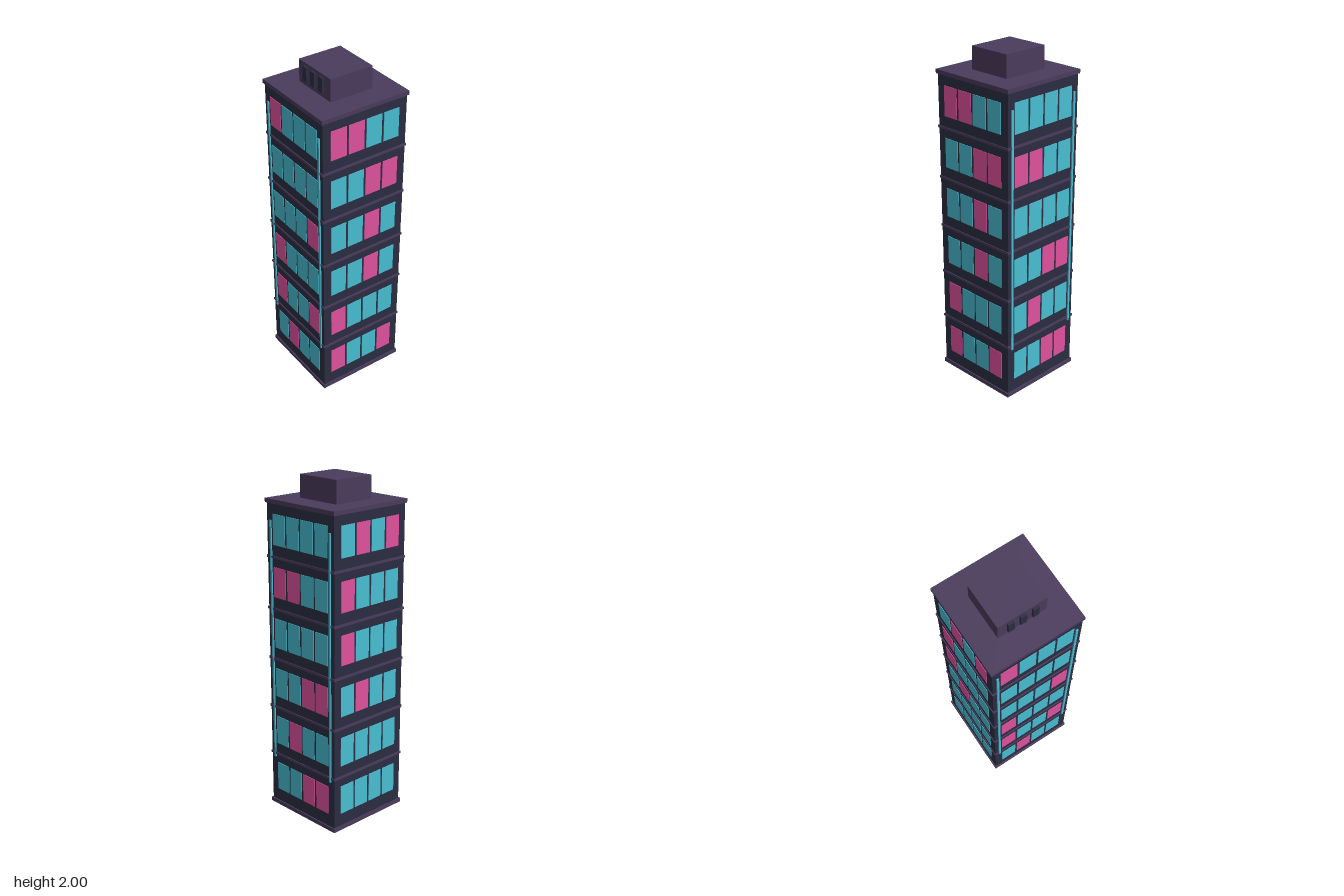
import * as THREE from 'three';

const mat = (color) => new THREE.MeshStandardMaterial({ color });

export function createModel() {
  const tower = new THREE.Group();
  tower.name = 'tower';
  const wall = mat(0x2b2d42), trim = mat(0x4a3b5c), cyan = mat(0x48bfd3), pink = mat(0xe0529f);

  // Box given by its size, centre x and z, and bottom height
  function box(parent, name, material, w, h, d, x, y, z) {
    const mesh = new THREE.Mesh(new THREE.BoxGeometry(w, h, d), material);
    mesh.name = name;
    mesh.position.set(x, y + h / 2, z);
    parent.add(mesh);
  }

  // Body, base and roof
  box(tower, 'walls', wall, 0.54, 1.83, 0.54, 0, 0.02, 0);
  box(tower, 'baseSlab', trim, 0.556, 0.024, 0.556, 0, 0, 0);
  box(tower, 'roofSlab', trim, 0.556, 0.024, 0.556, 0, 1.845, 0);

  // Ledges between floors
  const floorHeight = 0.302;
  for (let i = 0; i < 5; i++) {
    box(tower, 'floorLedge', trim, 0.55, 0.014, 0.55, 0, 0.327 + i * floorHeight, 0);
  }

  // Windows per side, ground floor first, left to right from outside (P = pink)
  const sides = [
    { name: 'front', turn: 0, rows: ['CPCC', 'PCCP', 'PCCC', 'CCCP', 'CCCC', 'PCCC'] },
    { name: 'right', turn: 1, rows: ['PCCP', 'PCCC', 'CCPC', 'CCPC', 'CCPP', 'PPCC'] },
    { name: 'back', turn: 2, rows: ['CCPP', 'CPCC', 'CCPP', 'CCCC', 'PPCC', 'CCCC'] },
    { name: 'left', turn: 3, rows: ['CCCC', 'CCCC', 'CPCC', 'PCCC', 'PCCC', 'CPCP'] },
  ];
  for (const { name, turn, rows } of sides) {
    const side = new THREE.Group();
    side.name = name + 'Side';
    side.rotation.y = turn * Math.PI / 2;
    rows.forEach((row, floor) => [...row].forEach((c, i) => {
      box(side, 'window', c === 'P' ? pink : cyan,
        0.1, 0.175, 0.008, (i - 1.5) * 0.1135, 0.102 + floor * floorHeight, 0.269);
    }));
    // Light strips on the front and back corners
    if (turn % 2 === 0) {
      for (const s of [-1, 1]) box(side, 'lightStrip', cyan, 0.013, 1.44, 0.009, s * 0.239, 0.31, 0.2725);
    }
    tower.add(side);
  }

  // Rooftop plant room with vents
  const plant = new THREE.Group();
  plant.name = 'plantRoom';
  box(plant, 'plantRoomBox', trim, 0.288, 0.133, 0.266, 0, 1.867, -0.002);
  for (let i = -1; i <= 1; i++) box(plant, 'vent', wall, 0.036, 0.085, 0.026, i * 0.0725, 1.9, 0.133);
  tower.add(plant);

  return tower;
}
